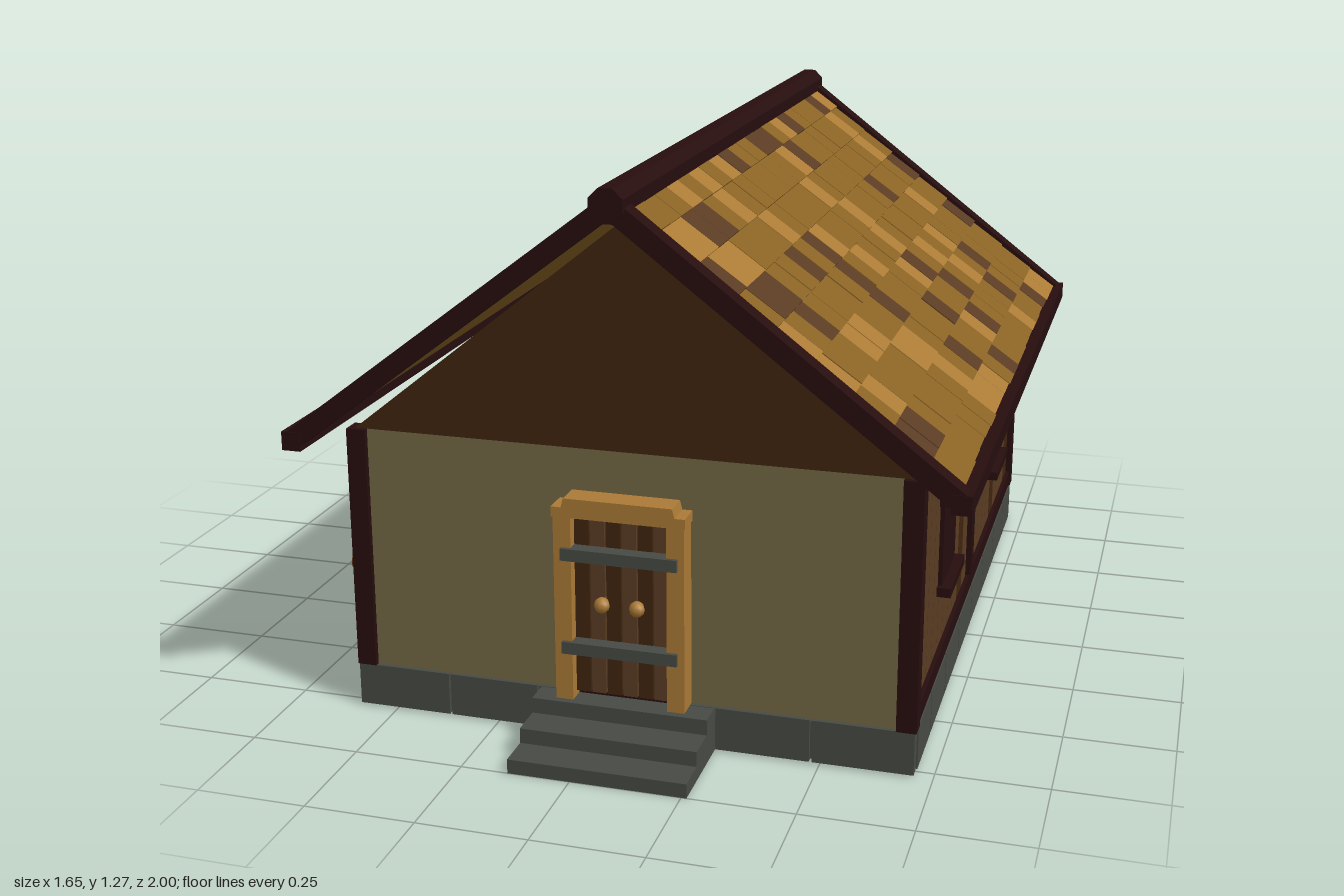
import * as THREE from 'three';
import { mergeGeometries } from 'three/addons/utils/BufferGeometryUtils.js';

const mat = (name, color) => {
  const m = new THREE.MeshStandardMaterial({ color });
  m.name = name;
  return m;
};

export function createModel() {
  const M = {
    plaster: mat('plaster', 0x736845),
    gable: mat('dark brown wood', 0x40250f),
    trim: mat('blackened timber', 0x270e0f),
    stone: mat('grey stone', 0x474a44),
    honey: mat('honey wood', 0xab7a36),
    straw: mat('straw shingle', 0x8a6324),
    umber: mat('umber wood', 0x5a3c23),
    log: mat('log brown', 0x57300f),
  };
  const house = new THREE.Group();
  house.name = 'cottage';
  const CX = 0.06, CZ = -0.055;

  const add = (parent, name, geo, m) => {
    const mesh = new THREE.Mesh(geo, m);
    mesh.name = name;
    parent.add(mesh);
    return mesh;
  };
  // box from its minimum and maximum on each axis
  const span = (x0, x1, y0, y1, z0, z1) =>
    new THREE.BoxGeometry(x1 - x0, y1 - y0, z1 - z0)
      .translate((x0 + x1) / 2, (y0 + y1) / 2, (z0 + z1) / 2);
  const box = (name, m, ...s) => add(house, name, span(...s), m);
  // merges a list of boxes into one mesh per colour
  const addSets = (parent, name, sets) => {
    for (const key in sets)
      if (sets[key].length) add(parent, name, mergeGeometries(sets[key]), M[key]);
  };

  // stone foundation: core plus a ring of blocks with narrow joints
  box('foundationCore', M.stone, -0.58, 0.70, 0.008, 0.098, -0.88, 0.77);
  const blocks = [], joint = 0.003;
  const xs = [-0.593, -0.365, -0.15, 0.262, 0.48, 0.711];
  const zs = [0.75, 0.57, 0.36, 0.15, -0.07, -0.28, -0.49, -0.695, -0.86];
  for (let i = 0; i < xs.length - 1; i++)
    for (const z of [0.75, -0.89])
      blocks.push(span(xs[i] + joint, xs[i + 1] - joint, 0.005, 0.105, z, z + 0.03));
  for (let i = 0; i < zs.length - 1; i++)
    for (const x of [-0.593, 0.681])
      blocks.push(span(x, x + 0.03, 0.005, 0.105, zs[i + 1] + joint, zs[i] - joint));
  add(house, 'foundationBlocks', mergeGeometries(blocks), M.stone);

  // entrance steps
  [[0, 0.033, 1.0], [0.033, 0.068, 0.92], [0.068, 0.104, 0.84]].forEach(([y0, y1, z]) =>
    box('step', M.stone, -0.142, 0.262, y0, y1, 0.75, z));

  // plaster walls
  box('plasterWalls', M.plaster, -0.57, 0.69, 0.1, 0.677, -0.88, 0.77);

  // attic gables
  const tri = new THREE.Shape();
  tri.moveTo(-0.575, 0.677);
  tri.lineTo(0.695, 0.677);
  tri.lineTo(CX, 1.187);
  const attic = new THREE.ExtrudeGeometry(tri, { depth: 1.65, bevelEnabled: false });
  add(house, 'gables', attic.translate(0, 0, -0.88), M.gable);

  // side walls: planks, posts, sill and shuttered windows
  const plankPattern = ['uuuuuuuudu', 'duuuuduuud'];
  const colours = { u: 'umber', d: 'gable', l: 'log' };
  for (const s of [-1, 1]) {
    const side = new THREE.Group();
    side.name = s > 0 ? 'leftWall' : 'rightWall';
    house.add(side);
    // box measured outwards from the centre line
    const out = (a, b, y0, y1, z0, z1) =>
      s > 0 ? span(CX + a, CX + b, y0, y1, z0, z1) : span(CX - b, CX - a, y0, y1, z0, z1);
    const planks = { umber: [], gable: [], log: [] };
    plankPattern.forEach((row, h) => [...row].forEach((c, i) => {
      const z = (h ? -0.08 : 0.74) - i * 0.077;
      planks[colours[c]].push(out(0.62, 0.638, 0.14, 0.632, z - 0.074, z));
    }));
    addSets(side, 'wallPlanks', planks);
    const frame = [out(0.61, 0.648, 0.105, 0.147, -0.885, 0.775)];
    for (const [z0, z1] of [[0.737, 0.783], [-0.893, -0.848]])
      frame.push(out(0.607, 0.652, 0.105, 0.677, z0, z1));
    frame.push(out(0.61, 0.65, 0.14, 0.677, -0.08, -0.033));
    add(side, 'wallFrame', mergeGeometries(frame), M.trim);
    for (const z of [0.357, -0.463]) {
      const win = [out(0.62, 0.648, 0.3, 0.52, z - 0.095, z + 0.095)];
      for (const y of [0.303, 0.52])
        win.push(out(0.62, 0.67, y - 0.011, y + 0.011, z - 0.11, z + 0.11));
      add(side, 'shutteredWindow', mergeGeometries(win), M.trim);
    }
  }

  // door: planks, frame, iron bands and knobs
  const door = new THREE.Group();
  door.name = 'door';
  house.add(door);
  add(door, 'doorBacking', span(-0.055, 0.17, 0.105, 0.545, 0.765, 0.785), M.trim);
  const leaf = { umber: [], gable: [] };
  for (let i = 0; i < 6; i++) {
    const x = -0.05 + i * 0.0362;
    leaf[i % 2 ? 'umber' : 'gable'].push(span(x, x + 0.033, 0.117, 0.535, 0.78, 0.8));
  }
  addSets(door, 'doorPlanks', leaf);
  for (const x of [-0.09, 0.167])
    add(door, 'doorJamb', span(x, x + 0.04, 0.105, 0.55, 0.765, 0.825), M.honey);
  const lintel = new THREE.Shape();
  [[-0.092, 0.537], [0.21, 0.537], [0.21, 0.56], [0.187, 0.56], [0.182, 0.581],
    [-0.064, 0.581], [-0.069, 0.56], [-0.092, 0.56]].forEach(([x, y], i) =>
    i ? lintel.lineTo(x, y) : lintel.moveTo(x, y));
  add(door, 'doorLintel', new THREE.ExtrudeGeometry(lintel, { depth: 0.065, bevelEnabled: false })
    .translate(0, 0, 0.765), M.honey);
  for (const y of [0.452, 0.232])
    add(door, 'ironBand', span(-0.072, 0.192, y - 0.014, y + 0.014, 0.798, 0.834), M.stone);
  for (const x of [0.02, 0.1]) {
    add(door, 'doorKnob', new THREE.SphereGeometry(0.018, 8, 6).translate(x, 0.34, 0.825), M.honey);
    add(door, 'knobStem', new THREE.CylinderGeometry(0.007, 0.007, 0.04, 6)
      .rotateX(Math.PI / 2).translate(x, 0.34, 0.805), M.honey);
  }

  // roof slopes with shingles, barge boards and eaves
  let seed = 11;
  const rand = () => (seed = (seed * 16807) % 2147483647) / 2147483647;
  const pitch = Math.atan2(0.565, 0.74), slope = Math.hypot(0.565, 0.74);
  const rows = 9, cols = 21, z0 = -0.885, tileW = 1.77 / cols, tileL = slope / rows;
  for (const s of [1, -1]) {
    const half = new THREE.Group();
    half.name = s > 0 ? 'leftRoof' : 'rightRoof';
    half.position.set(CX, 1.235, CZ);
    half.rotation.y = s > 0 ? 0 : Math.PI;
    house.add(half);
    const plane = new THREE.Group();
    plane.name = 'roofSlope';
    plane.rotation.z = -pitch;
    half.add(plane);
    add(plane, 'roofDeck', span(0, slope, -0.013, 0.003, -0.9, 0.9), M.straw);
    const tiles = { straw: [], honey: [], umber: [] };
    for (let r = 0; r < rows; r++)
      for (let c = 0; c < cols; c++) {
        const k = rand();
        const key = k < 0.2 ? 'honey' : k < 0.4 ? 'umber' : 'straw';
        const lift = rand() * 0.003;
        tiles[key].push(new THREE.BoxGeometry(tileL + 0.012, 0.01, tileW)
          .rotateZ(0.04)
          .translate((r + 0.5) * tileL, 0.006 + lift, z0 + (c + 0.5) * tileW));
      }
    addSets(plane, 'shingles', tiles);
    for (const z of [-0.907, 0.907])
      add(plane, 'bargeBoard', span(0, slope, -0.022, 0.022, z - 0.023, z + 0.023), M.trim);
    add(half, 'eaveBoard', span(0.718, 0.762, -0.588, -0.545, -0.932, 0.932), M.trim);
  }

  // ridge beam
  add(house, 'ridgeBeam', new THREE.CylinderGeometry(0.04, 0.04, 1.885, 8)
    .rotateY(Math.PI / 8).rotateX(Math.PI / 2).translate(CX, 1.238, -0.0575), M.trim)
    .geometry = mergeGeometries([new THREE.CylinderGeometry(0.04, 0.04, 1.885, 8)
      .toNonIndexed().rotateY(Math.PI / 8).rotateX(Math.PI / 2).translate(CX, 1.238, -0.0575)]);
  house.getObjectByName('ridgeBeam').geometry.computeVertexNormals();

  // row of logs beside the wall
  for (let i = 0; i < 5; i++)
    add(house, 'log', new THREE.CylinderGeometry(0.023, 0.023, 0.198, 10)
      .rotateZ(Math.PI / 2).translate(-0.728, 0.15, 0.07 + i * 0.0578), M.log);

  return house;
}
